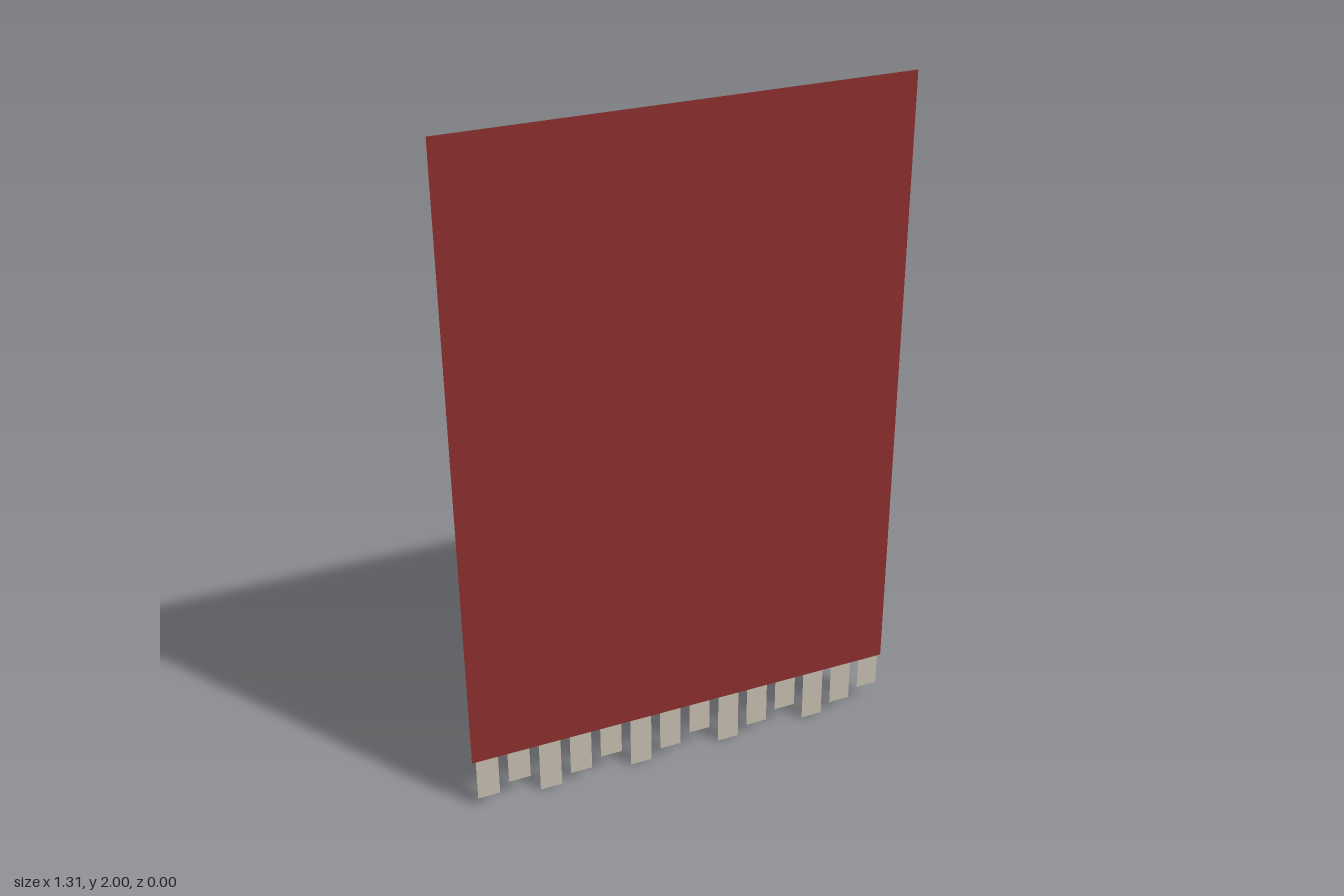
import * as THREE from 'three';

const LAYER = 0.0015;          // tiny spacing between woven layers
const W = 0.657, TOP = 2, BOTTOM = 0.16, MID = 1.083;

const mat = (color) => new THREE.MeshStandardMaterial({ color, side: THREE.DoubleSide });

export function createModel() {
  const rug = new THREE.Group();
  rug.name = 'wallRug';
  const red = mat(0x8b2e2e), ochre = mat(0xbe6a2f), cream = mat(0xd0c0a4);
  const black = mat(0x322926), fringe = mat(0xc3bcae);

  // Flat patch of cloth facing -z; higher layers lie further back
  function patch(name, points, material, layer) {
    const shape = new THREE.Shape(points.map(([x, y]) => new THREE.Vector2(-x, y)));
    const geometry = new THREE.ShapeGeometry(shape).rotateY(Math.PI);
    const mesh = new THREE.Mesh(geometry, material);
    mesh.name = name;
    mesh.position.z = (1.5 - layer) * LAYER;
    rug.add(mesh);
  }
  const rect = (x0, y0, x1, y1) => [[x0, y0], [x1, y0], [x1, y1], [x0, y1]];
  const diamond = (x, y, w, h) => [[x - w, y], [x, y - h], [x + w, y], [x, y + h]];

  // Cloth
  patch('cloth', rect(-W, BOTTOM, W, TOP), red, 0);

  // Border bands
  patch('topBand', rect(-W, 1.89, W, 1.99), ochre, 1);
  patch('bottomBand', rect(-W, 0.17, W, 0.27), ochre, 1);
  for (const s of [-1, 1]) patch('sideBand', rect(s * 0.593, 0.27, s * 0.647, 1.89), ochre, 1);

  // Rows of teeth along the top and bottom bands
  const pitch = 0.111;
  for (let i = -5; i <= 5; i++) {
    const x = i * pitch, h = pitch / 2;
    patch('topTooth', [[x - h, 1.893], [x + h, 1.893], [x, 1.832]], cream, 2);
    patch('bottomTooth', [[x - h, 0.267], [x + h, 0.267], [x, 0.33]], cream, 2);
  }

  // Nested central medallion
  patch('outerMedallion', diamond(0, MID, 0.45, 0.55), black, 1);
  patch('middleMedallion', diamond(0, MID, 0.286, 0.357), cream, 2);
  patch('innerMedallion', diamond(0, MID, 0.135, 0.166), ochre, 3);

  for (const sx of [-1, 1]) for (const sy of [-1, 1]) {
    // Corner diamonds
    patch('cornerDiamond', diamond(sx * 0.434, MID + sy * 0.543, 0.076, 0.083), sx > 0 ? ochre : black, 1);
    // Fanned barbs at the medallion's side tips
    patch('barb', [[sx * 0.448, MID], [sx * 0.514, MID + sy * 0.04], [sx * 0.477, MID + sy * 0.09]], black, 1);
  }

  // Fringe of tassels in three repeating lengths
  const lengths = [0.13, 0.1, 0.16];
  for (let i = 0; i < 14; i++) {
    const x = -0.613 + i * 0.0943;
    patch('tassel', rect(x - 0.033, BOTTOM - lengths[i % 3], x + 0.033, BOTTOM), fringe, 0);
  }
  return rug;
}
